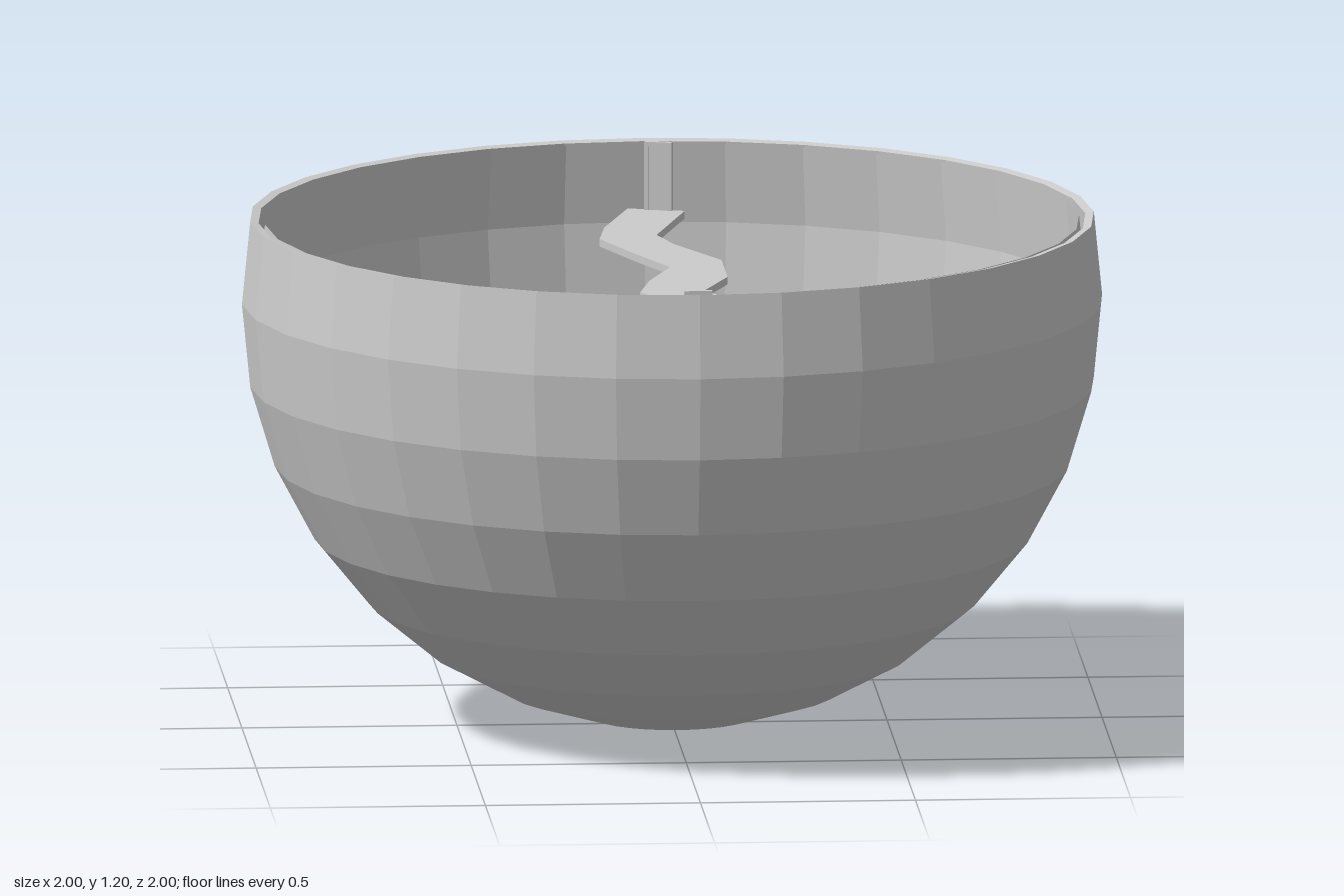
import * as THREE from 'three';

const grey = new THREE.MeshStandardMaterial({ color: 0xcccccc, flatShading: true, side: THREE.DoubleSide });

function addMesh(parent, name, geometry) {
  const mesh = new THREE.Mesh(geometry, grey);
  mesh.name = name;
  parent.add(mesh);
  return mesh;
}

// Sphere section from the bottom pole up to one ring above the equator
function bowlProfile(radius) {
  const points = [];
  for (let i = 0; i <= 9; i++) {
    const a = (i * Math.PI) / 16;
    points.push(new THREE.Vector2(radius * Math.sin(a), 1 - radius * Math.cos(a)));
  }
  return points;
}

// Thin door: a frame with an opening and a recessed panel
function makeDoor(name, width, bottom, top) {
  const door = new THREE.Group();
  door.name = name;
  const height = top - bottom, depth = 0.014, border = 0.011;
  const middle = (top + bottom) / 2;
  for (const side of [-1, 1]) {
    addMesh(door, 'doorPost', new THREE.BoxGeometry(border, height, depth))
      .position.set(side * (width - border) / 2, middle, 0);
  }
  addMesh(door, 'doorLintel', new THREE.BoxGeometry(width - 2 * border, border, depth))
    .position.set(0, top - border / 2, 0);
  addMesh(door, 'doorPanel', new THREE.BoxGeometry(width - 2 * border, height - border, 0.005))
    .position.set(0, middle - border / 2, 0);
  return door;
}

export function createModel() {
  const model = new THREE.Group();
  model.name = 'bowlWithWalkway';

  // Outer shell with a flat rim
  const shell = [...bowlProfile(1), ...bowlProfile(0.98).reverse()];
  addMesh(model, 'outerShell', new THREE.LatheGeometry(shell, 32));

  // Thin lining just inside the shell
  addMesh(model, 'innerLining', new THREE.LatheGeometry(bowlProfile(0.965), 32));

  // Winding walkway, as x, z pairs along each edge from back to front
  const leftEdge = [
    [-0.04, -0.955], [-0.11, -0.72], [-0.13, -0.58], [-0.06, -0.39], [0.01, -0.22],
    [-0.05, -0.05], [-0.08, 0.09], [-0.02, 0.21], [0.10, 0.34], [0.115, 0.41],
    [0.11, 0.51], [0.03, 0.56], [-0.06, 0.67], [-0.06, 0.92],
  ];
  const rightEdge = [
    [0.09, -0.915], [0.005, -0.62], [0.04, -0.5], [0.135, -0.3], [0.135, -0.09],
    [0.065, 0.09], [0.155, 0.19], [0.245, 0.35], [0.245, 0.52], [0.115, 0.67],
    [0.08, 0.67], [0.08, 0.92],
  ];
  const outline = [...leftEdge, ...rightEdge.reverse()].map(([x, z]) => new THREE.Vector2(x, -z));
  const walkway = new THREE.ExtrudeGeometry(new THREE.Shape(outline), { depth: 0.018, bevelEnabled: false });
  walkway.rotateX(-Math.PI / 2);
  addMesh(model, 'walkway', walkway).position.y = 1.016;

  // A door at each end of the walkway
  const frontDoor = makeDoor('frontDoor', 0.065, 1.034, 1.195);
  frontDoor.position.set(0, 0, 0.922);
  const backDoor = makeDoor('backDoor', 0.065, 1.034, 1.195);
  backDoor.position.set(0.03, 0, -0.93);
  backDoor.rotation.y = -0.31;
  model.add(frontDoor, backDoor);

  return model;
}
